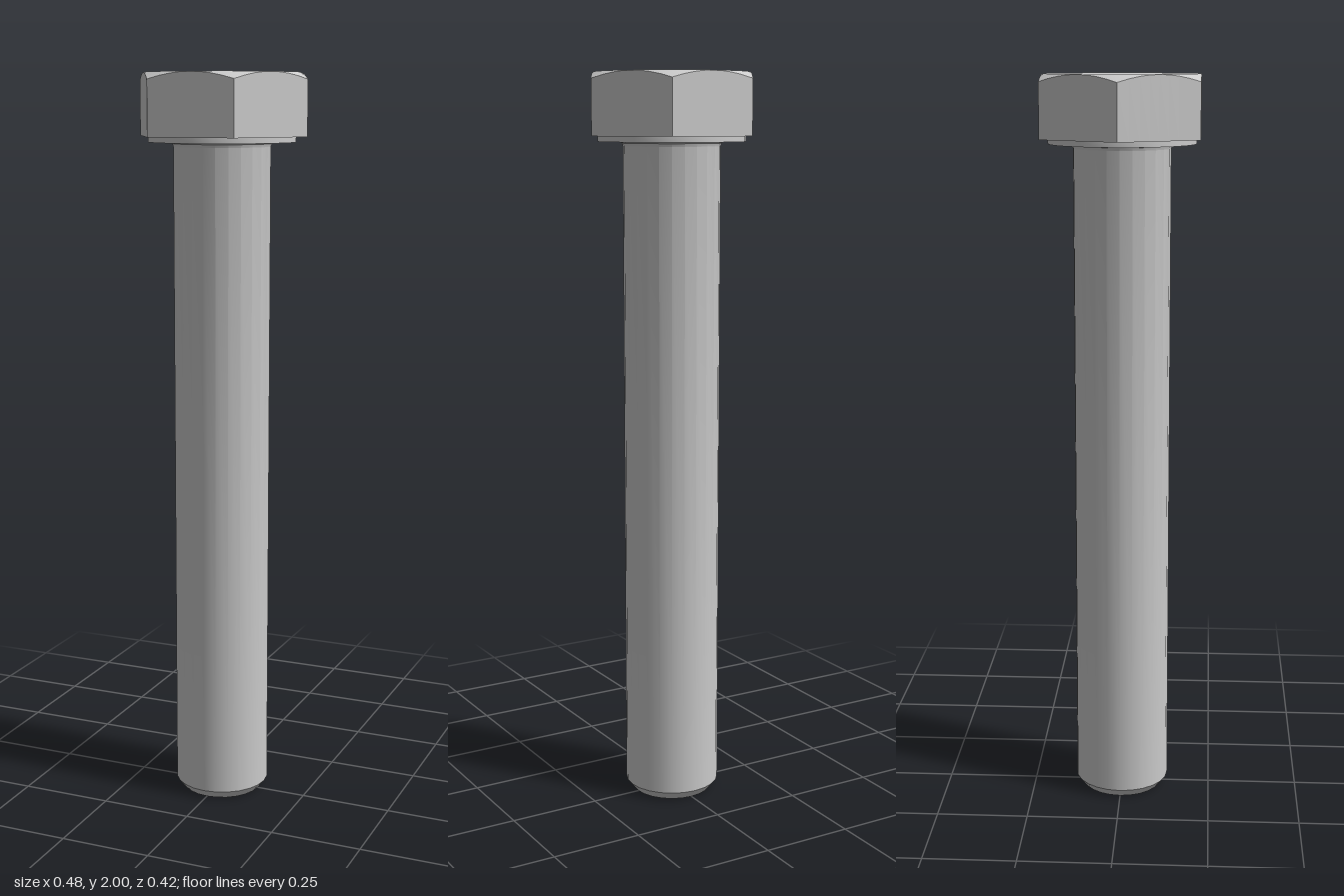
import * as THREE from 'three';
import { toCreasedNormals } from 'three/addons/utils/BufferGeometryUtils.js';

const FLAT = 0.208; // half the width across the head's flats
const SEGMENTS = 24;

function lathe(profile, segments) {
  return new THREE.LatheGeometry(profile.map(([r, y]) => new THREE.Vector2(r, y)), segments);
}

// Hexagon radius at an angle, with flats facing +z and -z
function hexRadius(angle) {
  const sector = Math.PI / 3;
  const a = angle - Math.round(angle / sector) * sector;
  return FLAT / Math.cos(a);
}

// Hexagonal head: a turned blank whose rim is pushed out to the hexagon,
// with the upper rim following a 30 degree chamfer cone
function headGeometry() {
  const rim = 0.22;
  const geometry = lathe([[0, 1.835], [rim, 1.835], [rim, 1.98], [FLAT - 0.001, 2], [0, 2]], 48);
  const p = geometry.attributes.position;
  for (let i = 0; i < p.count; i++) {
    const x = p.getX(i), y = p.getY(i), z = p.getZ(i);
    if (Math.hypot(x, z) < rim - 0.005) continue;
    const angle = Math.atan2(x, z);
    const r = hexRadius(angle);
    const top = 2 - (r - FLAT + 0.001) * Math.tan(Math.PI / 6);
    p.setXYZ(i, r * Math.sin(angle), y > 1.9 ? top : y, r * Math.cos(angle));
  }
  return geometry;
}

export function createModel() {
  const group = new THREE.Group();
  const material = new THREE.MeshStandardMaterial({ color: 0xcccccc });
  const add = (name, geometry) => {
    const mesh = new THREE.Mesh(toCreasedNormals(geometry, 0.4), material);
    mesh.name = name;
    group.add(mesh);
  };

  add('hexHead', headGeometry());

  // Thin round bearing face under the head
  add('washerFace', lathe([[0.12, 1.82], [0.197, 1.82], [0.197, 1.836]], SEGMENTS));

  // Shank with a chamfered tip and a small fillet below the head
  add('shank', lathe([
    [0, 0], [0.11, 0], [0.13, 0.025], [0.13, 1.808], [0.133, 1.816], [0.14, 1.82],
  ], SEGMENTS));

  return group;
}
